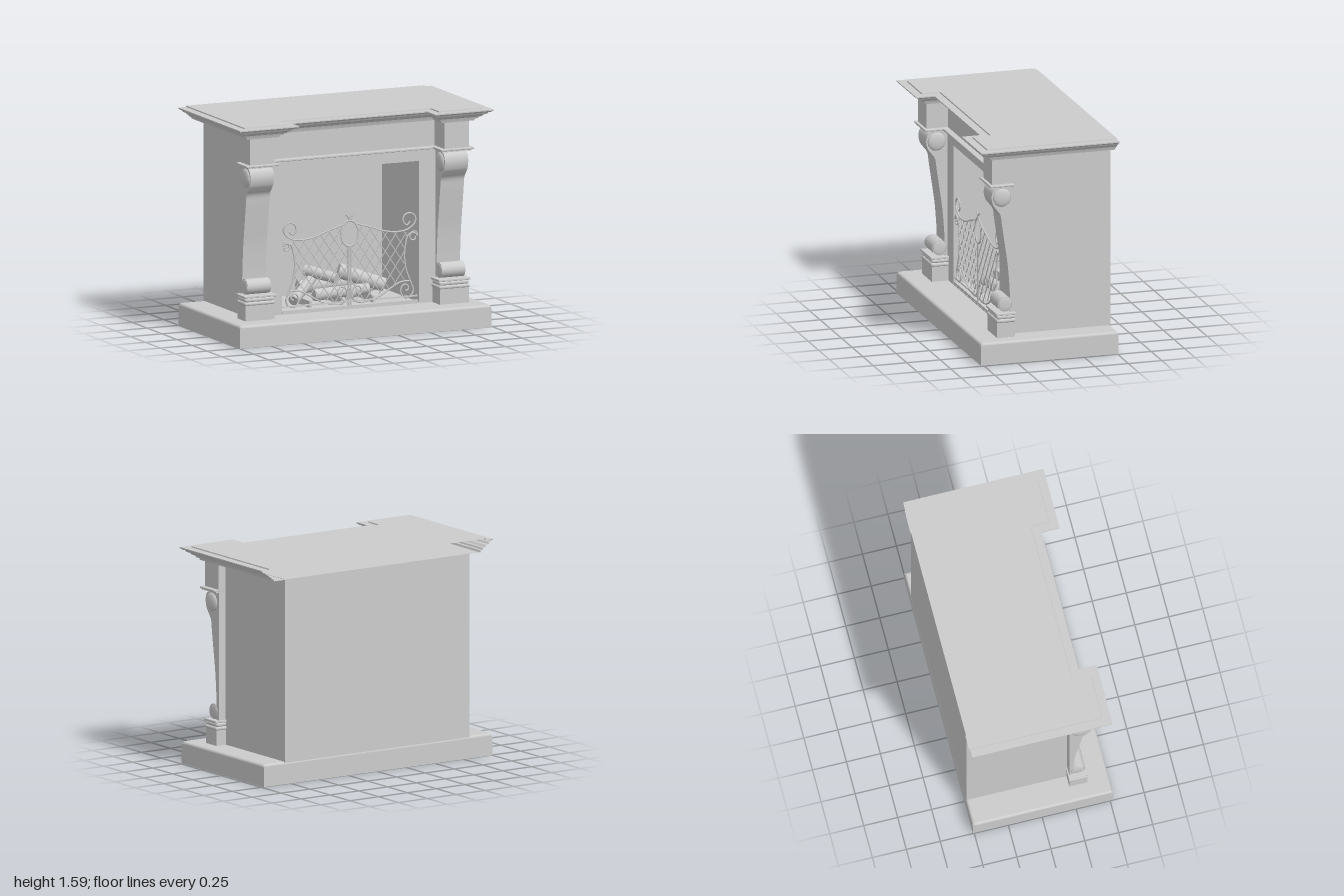
import * as THREE from 'three';
import { toCreasedNormals } from 'three/addons/utils/BufferGeometryUtils.js';
import { RoundedBoxGeometry } from 'three/addons/geometries/RoundedBoxGeometry.js';

const grey = new THREE.MeshStandardMaterial({ color: 0xcccccc });
const thin = new THREE.MeshStandardMaterial({ color: 0xcccccc, side: THREE.DoubleSide });
const V = (x, y, z) => new THREE.Vector3(x, y, z);

function add(parent, name, geometry, material = grey) {
  const m = new THREE.Mesh(geometry, material);
  m.name = name;
  parent.add(m);
  return m;
}

// box given by its limits, optionally with rounded edges
function block(parent, name, x0, x1, y0, y1, z0, z1, r = 0) {
  const s = [x1 - x0, y1 - y0, z1 - z0];
  const g = r ? new RoundedBoxGeometry(...s, 3, r) : new THREE.BoxGeometry(...s);
  return add(parent, name, g.translate((x0 + x1) / 2, (y0 + y1) / 2, (z0 + z1) / 2));
}

function rod(parent, name, a, b, r0, r1 = r0, sides = 6) {
  const m = add(parent, name, new THREE.CylinderGeometry(r1, r0, a.distanceTo(b), sides));
  m.position.copy(a).lerp(b, 0.5);
  m.quaternion.setFromUnitVectors(V(0, 1, 0), b.clone().sub(a).normalize());
  return m;
}

// stepped cornice, open at the back: the plan outline grows by d at each height
function makeMantel() {
  const g = new THREE.Group();
  g.name = 'mantelShelf';
  const outline = d => {
    const half = [[-0.86 - d, -0.513], [-0.86 - d, 0.38 + d], [-0.675 + d, 0.38 + d], [-0.675 + d, 0.245 + d]];
    return [...half, ...half.map(([x, z]) => [-x, z]).reverse()];
  };
  const profile = [[-0.065, 1.49], [0.035, 1.49], [0.04, 1.505], [0.055, 1.508], [0.06, 1.52], [0.075, 1.525],
    [0.085, 1.537], [0.105, 1.545], [0.112, 1.556], [0.125, 1.56], [0.14, 1.57], [0.14, 1.578], [0.08, 1.578], [0.078, 1.587]];
  const pos = [];
  for (let i = 0; i + 1 < profile.length; i++) {
    const [da, ya] = profile[i], [db, yb] = profile[i + 1];
    const a = outline(da), b = outline(db);
    for (let j = 0; j < 7; j++) {
      const p = [[...a[j], ya], [...a[j + 1], ya], [...b[j + 1], yb], [...b[j], yb]];
      for (const k of [0, 1, 2, 0, 2, 3]) pos.push(p[k][0], p[k][2], p[k][1]);
    }
  }
  const geo = new THREE.BufferGeometry();
  geo.setAttribute('position', new THREE.Float32BufferAttribute(pos, 3));
  geo.computeVertexNormals();
  add(g, 'cornice', geo, thin);
  const top = new THREE.Shape(outline(0.078).map(([x, z]) => new THREE.Vector2(x, -z)));
  add(g, 'shelfTop', new THREE.ShapeGeometry(top).rotateX(-Math.PI / 2).translate(0, 1.587, 0), thin);
  g.position.x = 0.003;
  return g;
}

// scrolled bracket column on a moulded pedestal
function makeColumn(side) {
  const g = new THREE.Group();
  g.name = side > 0 ? 'leftColumn' : 'rightColumn';
  block(g, 'pedestal', -0.115, 0.115, 0.15, 0.275, 0.23, 0.365);
  block(g, 'lowerRing', -0.121, 0.121, 0.272, 0.3, 0.225, 0.37, 0.013);
  block(g, 'upperRing', -0.116, 0.116, 0.298, 0.328, 0.228, 0.365, 0.013);
  block(g, 'pedestalPlate', -0.126, 0.126, 0.328, 0.345, 0.225, 0.373, 0.004);

  const s = new THREE.Shape();
  s.moveTo(0.235, 0.345);
  s.lineTo(0.262, 0.345);
  s.lineTo(0.262, 0.45);
  s.splineThru([[0.267, 0.55], [0.28, 0.7], [0.303, 0.86], [0.322, 0.99], [0.333, 1.065], [0.36, 1.105],
    [0.388, 1.145], [0.4, 1.2], [0.385, 1.25], [0.345, 1.27], [0.3, 1.277]].map(p => new THREE.Vector2(...p)));
  s.lineTo(0.235, 1.277);
  const shaft = new THREE.ExtrudeGeometry(s, { depth: 0.185, bevelEnabled: false, curveSegments: 4 });
  shaft.rotateY(-Math.PI / 2).translate(0.0925, 0, 0);
  add(g, 'scrollShaft', toCreasedNormals(shaft, 0.6));

  const drum = new THREE.CylinderGeometry(0.056, 0.056, 0.185, 20).rotateZ(Math.PI / 2);
  add(g, 'footScroll', drum).position.set(0, 0.402, 0.298);
  for (const e of [-1, 1]) {
    const top = add(g, 'upperScrollBoss', new THREE.SphereGeometry(0.068, 12, 8));
    top.position.set(e * 0.0925, 1.195, 0.322);
    top.scale.x = 0.28;
    const foot = add(g, 'footScrollBoss', new THREE.SphereGeometry(0.05, 12, 8));
    foot.position.set(e * 0.0925, 0.402, 0.298);
    foot.scale.x = 0.12;
  }
  block(g, 'capLower', -0.115, 0.115, 1.274, 1.285, 0.235, 0.41);
  block(g, 'capPlate', -0.13, 0.13, 1.283, 1.298, 0.237, 0.42, 0.005);
  block(g, 'headBlock', -0.097, 0.097, 1.295, 1.495, 0.235, 0.4);
  g.position.x = side * 0.767;
  return g;
}

// wrought scrollwork screen with a diagonal lattice
function makeScreen() {
  const g = new THREE.Group();
  g.name = 'fireScreen';
  const scrolls = {
    topScroll: [[0.06, 0.775], [0.16, 0.745], [0.28, 0.705], [0.38, 0.692], [0.46, 0.705], [0.512, 0.745], [0.52, 0.785],
      [0.485, 0.82], [0.435, 0.81], [0.422, 0.765], [0.45, 0.735], [0.478, 0.76]],
    sideScroll: [[0.51, 0.65], [0.52, 0.635], [0.5, 0.622], [0.475, 0.64], [0.485, 0.675], [0.52, 0.685], [0.535, 0.65],
      [0.51, 0.675], [0.465, 0.665], [0.44, 0.59], [0.432, 0.5], [0.45, 0.4], [0.485, 0.31], [0.502, 0.26],
      [0.475, 0.215], [0.425, 0.215], [0.402, 0.26], [0.425, 0.305], [0.46, 0.295], [0.46, 0.265], [0.44, 0.26]],
    bottomScroll: [[0.47, 0.33], [0.4, 0.325], [0.32, 0.285], [0.22, 0.23], [0.12, 0.208], [0.06, 0.21], [0.02, 0.25],
      [0.03, 0.31], [0.07, 0.325], [0.095, 0.29], [0.075, 0.26], [0.055, 0.28]],
    finial: [[0.006, 0.8], [0.008, 0.825], [0.026, 0.848]],
  };
  // lattice limits on one half
  const inside = (x, y) => {
    const top = x < 0.28 ? 0.79 - 0.3 * x : 0.705 - 0.1 * (x - 0.28);
    const low = x < 0.12 ? 0.208 : 0.208 + 0.4 * (x - 0.12);
    const out = 0.432 + 0.9 * (y - 0.5) ** 2;
    return x > 0.008 && x < out && y < top && y > low && (x / 0.07) ** 2 + ((y - 0.71) / 0.097) ** 2 > 1;
  };
  for (const side of [-1, 1]) {
    for (const [name, pts] of Object.entries(scrolls)) {
      const path = new THREE.CatmullRomCurve3(pts.map(([x, y]) => V(side * x, y, 0)));
      add(g, name, new THREE.TubeGeometry(path, pts.length * 5, 0.0065, 6));
    }
    rod(g, 'centrePost', V(side * 0.008, 0.18, 0), V(side * 0.008, 0.62, 0), 0.006);
    for (const dir of [-1, 1]) for (let k = -8; k < 15; k++) {
      let start = null, last = null;
      for (let y = 0.2; y < 0.86; y += 0.005) {
        const x = k * 0.08 + dir * (y - 0.5) / 1.45;
        if (inside(x, y)) {
          last = V(side * x, y, dir * 0.003);
          start ??= last;
        } else if (start) {
          if (last.distanceTo(start) > 0.02) rod(g, 'latticeBar', start, last, 0.0038, 0.0038, 5);
          start = null;
        }
      }
    }
  }
  const ring = add(g, 'medallionRing', new THREE.TorusGeometry(0.068, 0.006, 6, 32));
  ring.position.y = 0.71;
  ring.scale.y = 1.36;
  block(g, 'footRail', -0.535, 0.535, 0.172, 0.188, -0.01, 0.01);
  block(g, 'lowerRail', -0.535, 0.535, 0.212, 0.222, -0.006, 0.006);
  g.position.set(0.004, 0, 0.228);
  return g;
}

// stacked logs in the firebox
function makeLogs() {
  const g = new THREE.Group();
  g.name = 'logs';
  const logs = [
    [-0.37, 0.225, 0.08, -0.12, 0.36, -0.1, 0.04],
    [-0.2, 0.25, 0.06, 0.22, 0.27, 0.08, 0.045],
    [-0.24, 0.28, -0.12, 0.25, 0.3, -0.1, 0.05],
    [0.05, 0.39, -0.06, 0.36, 0.28, 0.05, 0.055],
    [-0.18, 0.4, -0.12, -0.03, 0.36, 0.08, 0.042],
    [0.05, 0.25, 0.1, 0.35, 0.26, -0.1, 0.045],
  ];
  for (const [a, b, c, d, e, f, r] of logs) rod(g, 'log', V(a, b, c), V(d, e, f), r, r * 0.9, 12);
  for (const x of [-0.25, 0, 0.25]) block(g, 'grateBar', x - 0.01, x + 0.01, 0.17, 0.22, -0.15, 0.12);
  return g;
}

export function createModel() {
  const model = new THREE.Group();
  model.name = 'fireplace';

  // hearth slab: sharp at the bottom, eased at the top
  block(model, 'hearthFoot', -0.998, 0.984, 0, 0.143, -0.51, 0.52);
  block(model, 'hearthSlab', -0.998, 0.984, 0.02, 0.163, -0.51, 0.52, 0.02);

  // chimney breast with an open firebox, stopping below the hollow mantel
  const shape = pts => pts.map(p => new THREE.Vector2(...p));
  const wall = new THREE.Shape(shape([[-0.8, 0.155], [0.8, 0.155], [0.8, 1.492], [-0.8, 1.492]]));
  wall.holes.push(new THREE.Path(shape([[-0.535, 0.172], [-0.535, 1.195], [0.545, 1.195], [0.545, 0.172]])));
  add(model, 'surround', new THREE.ExtrudeGeometry(wall, { depth: 0.615, bevelEnabled: false }).translate(0, 0, -0.375));
  block(model, 'backWall', -0.8, 0.8, 0.155, 1.492, -0.508, -0.375);

  // ledge across the frieze
  block(model, 'friezeLedge', -0.64, 0.64, 1.281, 1.298, 0.22, 0.285, 0.005);
  block(model, 'friezeBead', -0.66, 0.66, 1.27, 1.283, 0.22, 0.265);

  for (const side of [-1, 1]) model.add(makeColumn(side));
  model.add(makeMantel(), makeScreen(), makeLogs());
  return model;
}
